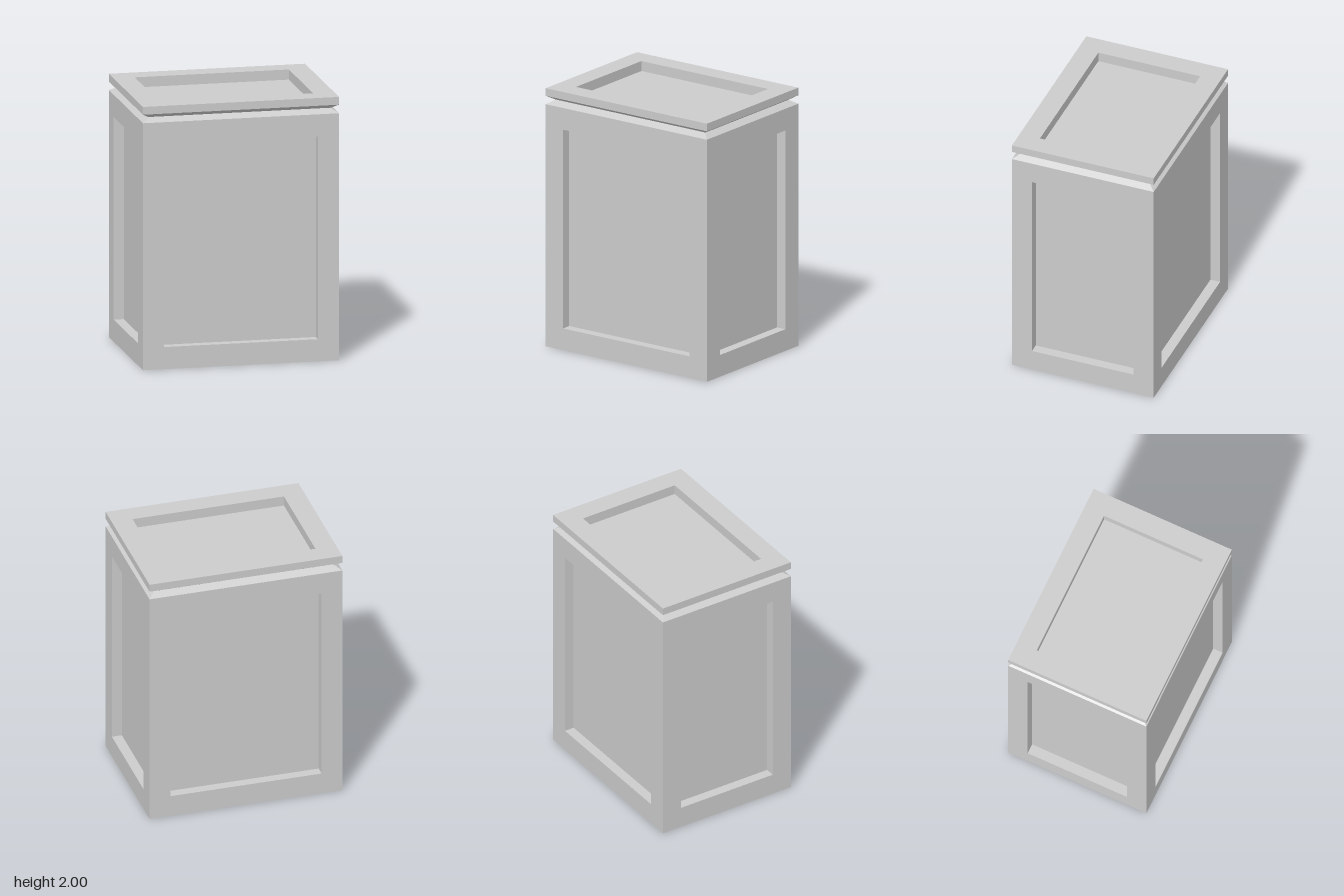
import * as THREE from 'three';

const HX = 0.745, HZ = 0.565, BODY = 1.876; // half width, half depth, body height
const BORDER = 0.16, DEPTH = 0.077;         // panel frame width and recess depth

const material = new THREE.MeshStandardMaterial({ color: 0xcccccc, flatShading: true });

// Skin a stack of rectangles [halfWidth, halfHeight, z], facing +z, capped at the last one
function loft(name, rings) {
  const loops = rings.map(([w, h, z]) => [[-w, -h, z], [w, -h, z], [w, h, z], [-w, h, z]]);
  const pos = [];
  const quad = (a, b, c, d) => pos.push(...a, ...b, ...c, ...a, ...c, ...d);
  for (let r = 0; r < loops.length - 1; r++) {
    for (let i = 0; i < 4; i++) {
      const j = (i + 1) % 4;
      quad(loops[r][i], loops[r][j], loops[r + 1][j], loops[r + 1][i]);
    }
  }
  quad(...loops[loops.length - 1]);
  const geometry = new THREE.BufferGeometry();
  geometry.setAttribute('position', new THREE.Float32BufferAttribute(pos, 3));
  geometry.computeVertexNormals();
  const mesh = new THREE.Mesh(geometry, material);
  mesh.name = name;
  return mesh;
}

// Flat frame, recess walls and recess floor
const recess = (w, h, z, border = BORDER) => [
  [w, h, z],
  [w - BORDER, h - border, z],
  [w - BORDER, h - border, z - DEPTH],
];

export function createModel() {
  const model = new THREE.Group();
  model.name = 'panelledBox';

  // Four recessed side panels
  const sides = [['frontPanel', HX, HZ], ['leftPanel', HZ, HX], ['backPanel', HX, HZ], ['rightPanel', HZ, HX]];
  sides.forEach(([name, w, out], i) => {
    const panel = loft(name, recess(w, BODY / 2, out, 0.168));
    panel.position.y = BODY / 2;
    panel.rotation.y = i * Math.PI / 2;
    model.add(panel);
  });

  // Recessed underside
  const base = loft('basePanel', recess(HX, HZ, 0));
  base.rotation.x = Math.PI / 2;
  model.add(base);

  // Lid: V-shaped groove, rim and recessed top
  const lid = loft('lid', [
    [HX, HZ, BODY],
    [HX - 0.053, HZ - 0.053, 1.909],
    [HX, HZ, 1.941],
    ...recess(HX, HZ, 2),
  ]);
  lid.rotation.x = -Math.PI / 2;
  model.add(lid);

  return model;
}
